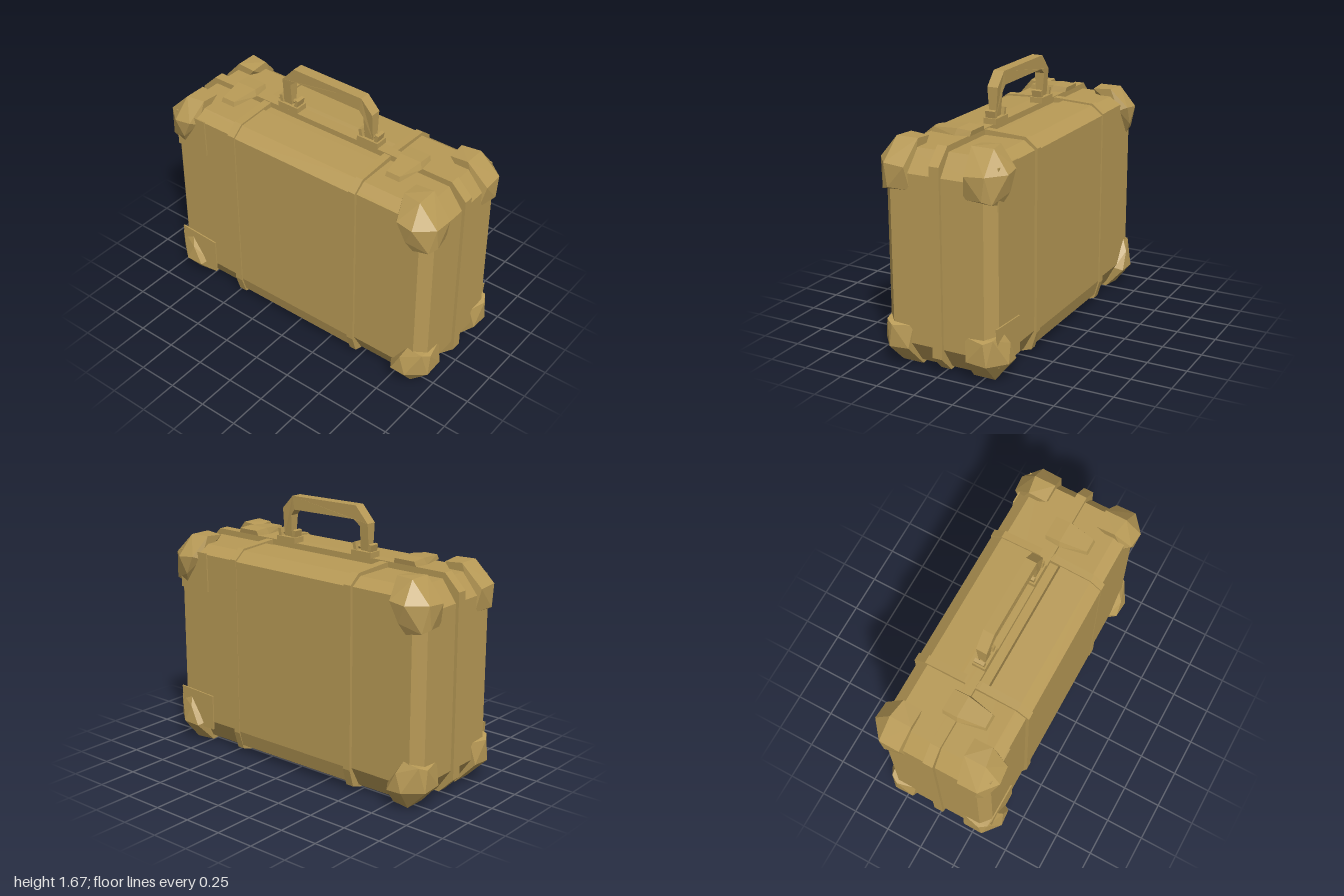
import * as THREE from 'three';
import { ConvexGeometry } from 'three/addons/geometries/ConvexGeometry.js';

const tan = new THREE.MeshStandardMaterial({ color: 0xb89a56, side: THREE.DoubleSide });
tan.name = 'tan leather';

function add(parent, name, geometry) {
  const flat = geometry.index ? geometry.toNonIndexed() : geometry;
  flat.computeVertexNormals();
  const mesh = new THREE.Mesh(flat, tan);
  mesh.name = name;
  parent.add(mesh);
  return mesh;
}

const hull = (points) => new ConvexGeometry(points.map((p) => new THREE.Vector3(...p)));

function box(w, h, d, x, y, z) {
  return new THREE.BoxGeometry(w, h, d).translate(x, y, z);
}

function polygon(points) {
  return new THREE.Shape(points.map(([x, y]) => new THREE.Vector2(x, y)));
}

// Extrudes a half outline of [z, y] points, mirrored in z, from x0 to x1
function band(half, x0, x1) {
  const mirrored = half.slice().reverse().map(([z, y]) => [-z, y]);
  return new THREE.ExtrudeGeometry(polygon([...half, ...mirrored]), { depth: x1 - x0, bevelEnabled: false })
    .rotateY(Math.PI / 2).translate(x0, 0, 0);
}

export function createModel() {
  const suitcase = new THREE.Group();
  suitcase.name = 'suitcase';
  const signs = [-1, 1];

  // Bevelled main shell
  const shell = [];
  for (const sx of signs) for (const sz of signs) {
    shell.push(
      [sx * 0.975, 0.17, sz * 0.3], [sx * 0.975, 1.2, sz * 0.3],
      [sx * 0.91, 0.16, sz * 0.36], [sx * 0.91, 1.28, sz * 0.36],
      [sx * 0.88, 0.03, sz * 0.29], [sx * 0.88, 1.33, sz * 0.29],
    );
  }
  add(suitcase, 'shell', hull(shell));

  // Raised middle panel with a groove along the top
  add(suitcase, 'middlePanel', band([
    [0.28, 0.022], [0.345, 0.06], [0.372, 0.16], [0.372, 1.28], [0.3, 1.338], [0.1, 1.348], [0.085, 1.33],
  ], -0.435, 0.425));

  // Straps wrapped around the shell
  const strap = [[0.28, 0.012], [0.345, 0.035], [0.38, 0.15], [0.38, 1.29], [0.305, 1.35], [0.05, 1.362]];
  add(suitcase, 'rightStrap', band(strap, -0.487, -0.435));
  add(suitcase, 'leftStrap', band(strap.map(([z, y]) => [z - 0.004, y]), 0.425, 0.472));

  // Seam rib running around the case
  const outline = (x, bottom, top, cut) => [
    [-x + cut, bottom], [x - cut, bottom], [x, bottom + cut], [x, top - cut],
    [x - cut, top], [-x + cut, top], [-x, top - cut], [-x, bottom + cut],
  ];
  const ribShape = polygon(outline(0.995, 0.015, 1.367, 0.1));
  ribShape.holes.push(new THREE.Path(polygon(outline(0.93, 0.08, 1.3, 0.1)).getPoints()));
  add(suitcase, 'seamRib', new THREE.ExtrudeGeometry(ribShape, { depth: 0.064, bevelEnabled: false })
    .translate(0, 0, -0.034));

  // Faceted corner caps: distances inward from the outermost x, y and z
  const cap = [
    [0, 0.13, 0.09], [0, 0.27, 0.11], [0, 0.14, 0.22], [0.03, 0.28, 0.24],
    [0.13, 0, 0.1], [0.25, 0, 0.12], [0.13, 0, 0.24], [0.25, 0.01, 0.24],
    [0.11, 0.13, 0], [0.16, 0.24, 0.015], [0.22, 0.12, 0.01],
    [0.25, 0.14, 0.06], [0.13, 0.31, 0.05], [0.03, 0.29, 0.06],
  ];
  for (const sx of signs) for (const sy of signs) for (const sz of signs) {
    add(suitcase, 'cornerCap', hull(cap.map(([a, b, c]) => [
      sx * (1 - a), sy > 0 ? 1.38 - b : b, sz * (0.412 - c),
    ])));
  }

  // Thin reinforcing plates beside two pairs of caps
  const plates = [
    [[-0.92, 1.04], [-0.685, 1.04], [-0.69, 1.29], [-0.92, 1.29]],
    [[-0.93, 0.11], [-0.67, 0.11], [-0.67, 0.34], [-0.95, 0.355]],
  ];
  for (const turn of [0, Math.PI]) for (const plate of plates) {
    add(suitcase, 'cornerPlate', new THREE.ExtrudeGeometry(polygon(plate), { depth: 0.009, bevelEnabled: false })
      .translate(0, 0, 0.36).rotateY(turn));
  }

  // Tapered latches lying over the top edge
  for (const [x, name] of [[-0.63, 'rightLatch'], [0.61, 'leftLatch']]) {
    const points = [];
    for (const s of signs) {
      points.push(
        [x + s * 0.08, 1.375, -0.06], [x + s * 0.07, 1.405, -0.065],
        [x + s * 0.085, 1.37, 0.04], [x + s * 0.07, 1.41, 0.03],
        [x + s * 0.05, 1.365, 0.21], [x + s * 0.045, 1.395, 0.2],
      );
    }
    add(suitcase, name, hull(points));
  }

  // Angular carrying handle, narrower towards its feet
  const grip = new THREE.ExtrudeGeometry(polygon([
    [-0.34, 1.4], [-0.34, 1.57], [-0.25, 1.67], [0.25, 1.665], [0.33, 1.58], [0.33, 1.4],
    [0.27, 1.4], [0.265, 1.54], [0.235, 1.58], [-0.235, 1.585], [-0.28, 1.55], [-0.28, 1.4],
  ]), { depth: 0.07, bevelEnabled: false }).translate(0, 0, -0.035);
  const p = grip.attributes.position;
  for (let i = 0; i < p.count; i++) {
    const t = THREE.MathUtils.clamp((p.getY(i) - 1.4) / 0.18, 0, 1);
    p.setZ(i, p.getZ(i) * (0.6 + 0.4 * t) - 0.008);
  }
  add(suitcase, 'handle', grip);

  // Handle brackets with a base plate and upturned ears
  for (const s of signs) {
    const bracket = new THREE.Group();
    bracket.name = 'handleBracket';
    bracket.position.set(s * 0.3, 0, -0.012);
    add(bracket, 'bracketBase', box(0.15, 0.035, 0.085, 0, 1.385, 0));
    for (const e of signs) {
      add(bracket, 'bracketEar', box(0.022, 0.065, 0.065, 0, 0, 0).rotateZ(-e * 0.2).translate(e * 0.055, 1.415, 0));
    }
    add(bracket, 'hingePin', new THREE.CylinderGeometry(0.014, 0.014, 0.1, 6).rotateZ(Math.PI / 2).translate(0, 1.42, 0));
    suitcase.add(bracket);
  }
  return suitcase;
}
